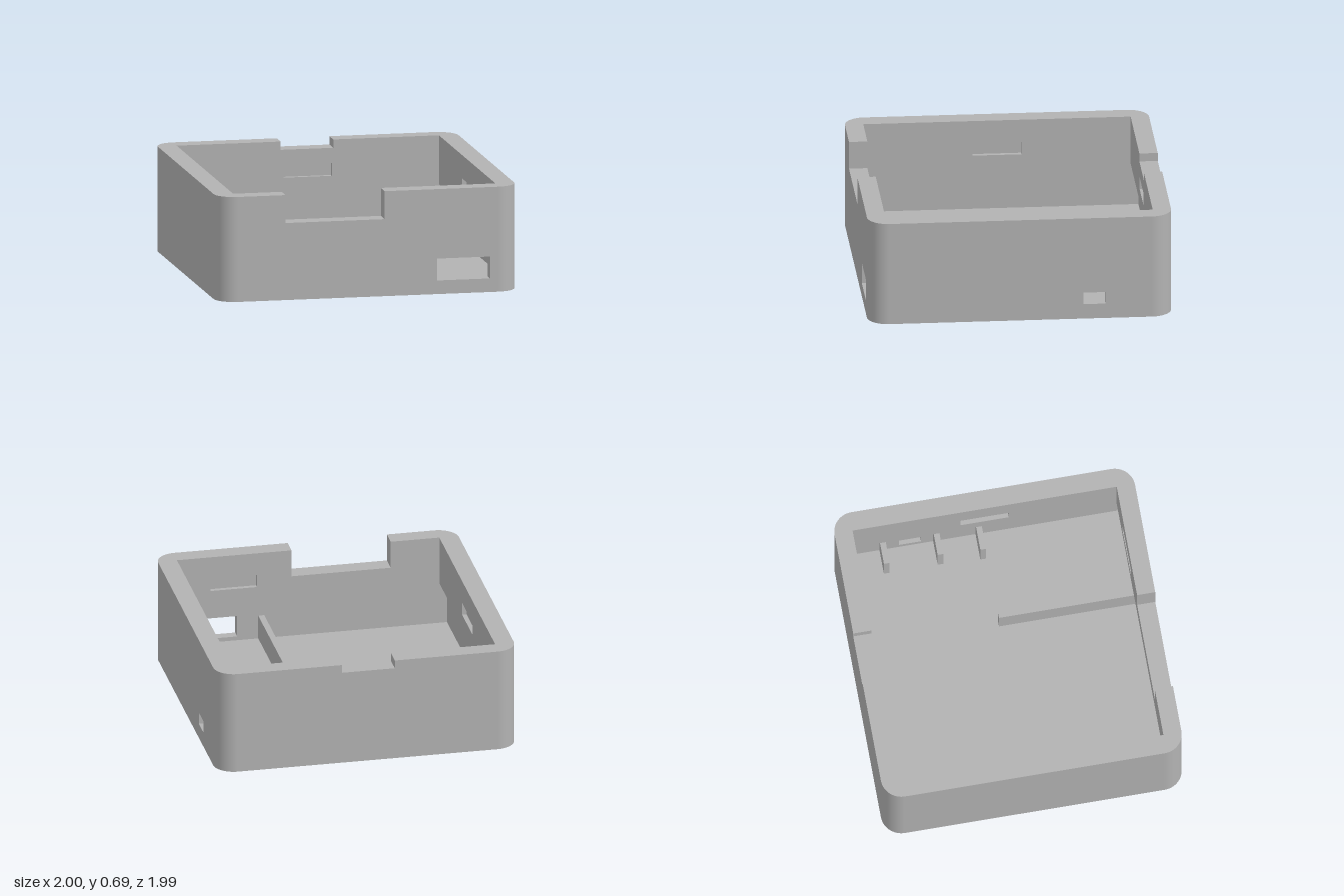
import * as THREE from 'three';

const H = 0.695;        // overall height
const W = 1, D = 0.993; // half width and half depth
const R = 0.135;        // outer corner radius
const INNER = 0.873;    // half size of the square opening
const LEDGE = 0.37;     // the cavity widens below this height
const FLOOR = 0.063;
const SKIN = 0.064;     // thickness of the lower wall
const POCKET = 0.03;    // depth of the snap-fit pockets

// u runs along each wall, seen from outside; each opening is [u0, u1, y0, y1]
const WALLS = [
  { name: 'frontWall', angle: 0, half: W, dist: D, notch: [-0.55, 0.11, 0.51], port: [0.46, 0.81, 0.09, 0.235], slot: [0.34, 0.65, 0.455, 0.54] },
  { name: 'leftWall', angle: Math.PI / 2, half: D, dist: W, port: [0.41, 0.555, 0.1, 0.18], slot: [-0.16, 0.16, 0.455, 0.54] },
  { name: 'backWall', angle: Math.PI, half: W, dist: D, notch: [-0.17, 0.18, 0.64], slot: [-0.16, 0.16, 0.455, 0.54] },
  { name: 'rightWall', angle: -Math.PI / 2, half: D, dist: W, slot: [-0.16, 0.16, 0.455, 0.54] },
];

const poly = (pts) => new THREE.Shape(pts.map(([x, y]) => new THREE.Vector2(x, y)));
const rect = ([u0, u1, y0, y1]) => [[u0, y0], [u1, y0], [u1, y1], [u0, y1]];

// Flat sheet at distance z; reversed sheets face the inside
function sheet(shape, z, reversed = false) {
  const g = new THREE.ShapeGeometry(shape, 16);
  if (reversed) {
    const i = g.index.array;
    for (let k = 0; k < i.length; k += 3) [i[k], i[k + 1]] = [i[k + 1], i[k]];
    g.computeVertexNormals();
  }
  return g.translate(0, 0, z);
}

// Sides of an opening: a path swept through the wall from z0 to z1
function reveal(path, z0, z1) {
  const pos = [];
  for (let i = 0; i + 1 < path.length; i++) {
    const a = path[i], b = path[i + 1];
    pos.push(...a, z0, ...a, z1, ...b, z1, ...a, z0, ...b, z1, ...b, z0);
  }
  const g = new THREE.BufferGeometry();
  g.setAttribute('position', new THREE.Float32BufferAttribute(pos, 3));
  g.computeVertexNormals();
  return g;
}

// Wall face outline with an optional notch in its top edge
function face(half, y0, notch, holes) {
  const pts = [[-half, y0], [half, y0], [half, H]];
  if (notch) {
    const [a, b, y] = notch;
    pts.push([b, H], [b, y], [a, y], [a, H]);
  }
  pts.push([-half, H]);
  const s = poly(pts);
  for (const h of holes) s.holes.push(poly(rect(h)));
  return s;
}

function roundedPlan() {
  const x = W - R, y = D - R, s = new THREE.Shape();
  s.absarc(x, y, R, 0, Math.PI / 2);
  s.absarc(-x, y, R, Math.PI / 2, Math.PI);
  s.absarc(-x, -y, R, Math.PI, Math.PI * 1.5);
  s.absarc(x, -y, R, Math.PI * 1.5, Math.PI * 2);
  return s;
}

// Half of the rim, from the front notch round to the back notch
function rimHalf(frontX, backX) {
  const s = new THREE.Shape();
  s.moveTo(frontX, -INNER);
  s.lineTo(frontX, -D);
  s.absarc(W - R, -D + R, R, -Math.PI / 2, 0);
  s.absarc(W - R, D - R, R, 0, Math.PI / 2);
  s.lineTo(backX, D);
  s.lineTo(backX, INNER);
  s.lineTo(INNER, INNER);
  s.lineTo(INNER, -INNER);
  return s;
}

export function createModel() {
  const model = new THREE.Group();
  model.name = 'openEnclosure';
  const grey = new THREE.MeshStandardMaterial({ color: 0xb2b2b2, side: THREE.DoubleSide });
  grey.name = 'plainGrey';

  const add = (parent, name, geometry) => {
    const m = new THREE.Mesh(geometry, grey);
    m.name = name;
    parent.add(m);
    return m;
  };
  const box = (name, x0, x1, y0, y1, z0, z1) =>
    add(model, name, new THREE.BoxGeometry(x1 - x0, y1 - y0, z1 - z0)
      .translate((x0 + x1) / 2, (y0 + y1) / 2, (z0 + z1) / 2));

  // Four walls with their notches, ports and pockets
  for (const { name, angle, half, dist, notch, port, slot } of WALLS) {
    const wall = new THREE.Group();
    wall.name = name;
    wall.rotation.y = angle;
    model.add(wall);
    const ports = port ? [port] : [];
    const low = half - SKIN;
    add(wall, 'outerFace', sheet(face(half - R, 0, notch, ports), dist));
    add(wall, 'upperInnerFace', sheet(face(INNER, LEDGE, notch, [slot]), INNER, true));
    const lower = poly(rect([-low, low, FLOOR, LEDGE]));
    for (const p of ports) lower.holes.push(poly(rect(p)));
    add(wall, 'lowerInnerFace', sheet(lower, dist - SKIN, true));

    const loop = rect(slot);
    add(wall, 'pocketSides', reveal([...loop, loop[0]], INNER, INNER + POCKET));
    add(wall, 'pocketBack', sheet(poly(loop), INNER + POCKET, true));
    if (port) {
      const p = rect(port);
      add(wall, 'portSides', reveal([...p, p[0]], dist - SKIN, dist));
    }
    if (notch) {
      const [a, b, y] = notch;
      add(wall, 'notchSides', reveal([[a, H], [a, y], [b, y], [b, H]], INNER, dist));
    }
  }

  // Rounded outer corners
  for (const sx of [1, -1]) for (const sz of [1, -1]) {
    const start = Math.atan2(sx, sz) - Math.PI / 4;
    add(model, 'roundedCorner', new THREE.CylinderGeometry(R, R, H, 16, 1, true, start, Math.PI / 2)
      .translate(sx * (W - R), H / 2, sz * (D - R)));
  }

  // Rim, in two halves between the notches
  add(model, 'leftRim', sheet(rimHalf(0.11, 0.17), H).rotateX(-Math.PI / 2));
  add(model, 'rightRim', sheet(rimHalf(0.55, 0.18), H).rotateX(-Math.PI / 2)).scale.x = -1;

  // Underside, inner floor and the ledge where the cavity widens
  const lx = W - SKIN, lz = D - SKIN;
  add(model, 'underside', sheet(roundedPlan(), 0).rotateX(Math.PI / 2));
  const cavity = rect([-lx, lx, -lz, lz]);
  add(model, 'innerFloor', sheet(poly(cavity), FLOOR).rotateX(-Math.PI / 2));
  const ledge = poly(cavity);
  ledge.holes.push(poly(rect([-INNER, INNER, -INNER, INNER])));
  add(model, 'ledge', sheet(ledge, -LEDGE).rotateX(Math.PI / 2));

  // Divider and the short ribs along the left wall
  box('divider', 0.28, 0.32, FLOOR, 0.225, -0.01, lz);
  for (const [x, z] of [[0.77, -0.665], [0.77, -0.31], [0.757, -0.03]]) {
    box('rib', x, lx, FLOOR, 0.25, z - 0.019, z + 0.019);
  }
  return model;
}
